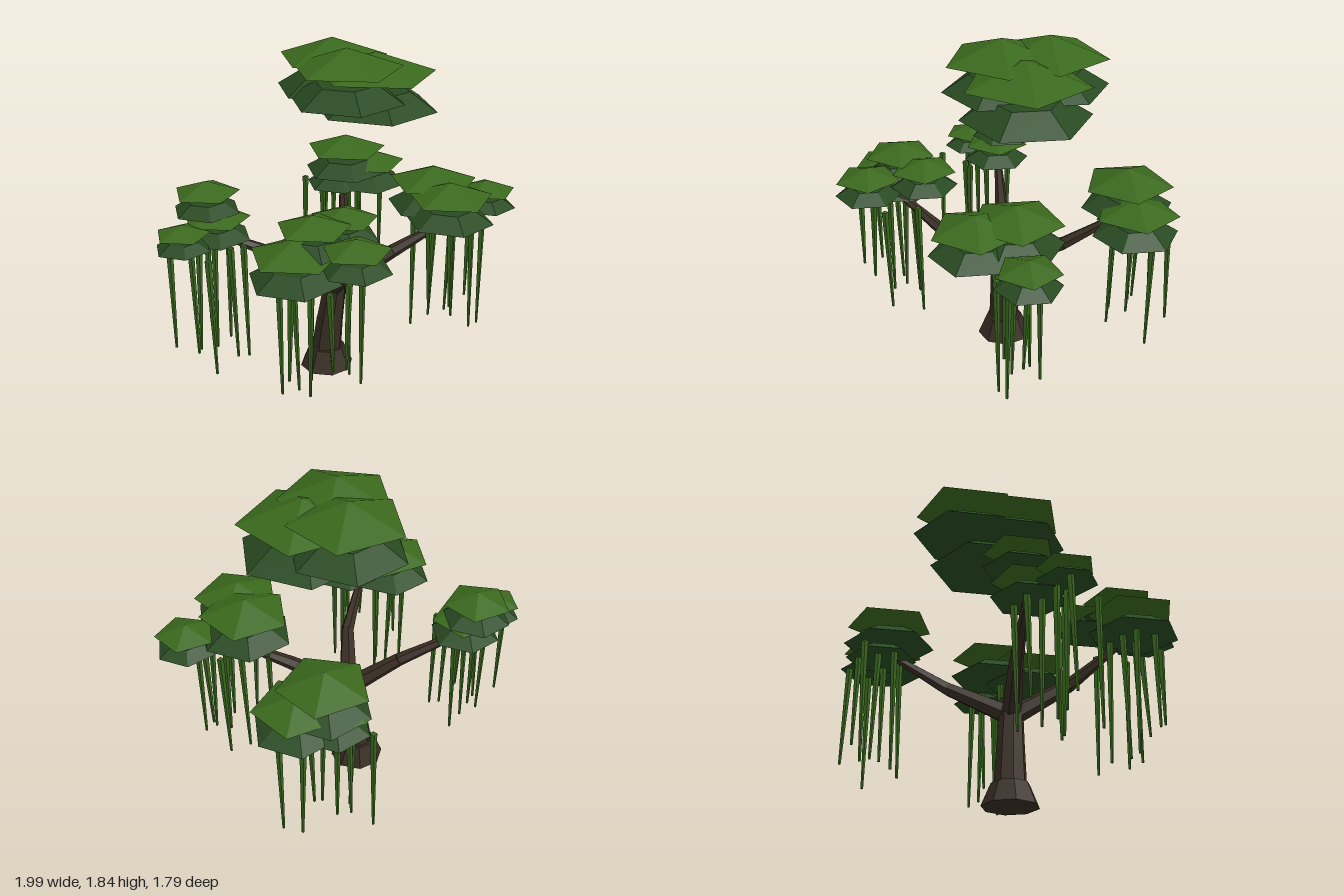
import * as THREE from 'three';

const material = (name, color) => {
  const m = new THREE.MeshStandardMaterial({ color, flatShading: true });
  m.name = name;
  return m;
};

export function createModel() {
  const tree = new THREE.Group();
  tree.name = 'willowTree';
  const bark = material('bark', 0x372c22);
  const leaf = material('leafGreen', 0x3a681d);
  const shade = material('deepLeafGreen', 0x284a21);
  const vineGreen = material('vineGreen', 0x3a681f);
  const up = new THREE.Vector3(0, 1, 0);

  const add = (geometry, mat, name, parent = tree) => {
    const mesh = new THREE.Mesh(geometry, mat);
    mesh.name = name;
    parent.add(mesh);
    return mesh;
  };

  // Tapered segment between two points
  const limb = (a, b, ra, rb, sides, mat, name, parent) => {
    const p = new THREE.Vector3(...a), q = new THREE.Vector3(...b);
    const dir = q.clone().sub(p);
    const mesh = add(new THREE.CylinderGeometry(rb, ra, dir.length(), sides), mat, name, parent);
    mesh.position.copy(p).add(q).multiplyScalar(0.5);
    mesh.quaternion.setFromUnitVectors(up, dir.normalize());
    return mesh;
  };

  // Trunk with flared foot
  const foot = add(new THREE.CylinderGeometry(0.1, 0.15, 0.12, 8), bark, 'trunkFlare');
  foot.position.set(-0.09, 0.06, -0.015);
  limb([-0.09, 0.1, -0.015], [-0.07, 0.3, -0.01], 0.086, 0.076, 8, bark, 'lowerTrunk');
  limb([-0.07, 0.29, -0.01], [-0.04, 0.52, 0], 0.076, 0.064, 8, bark, 'upperTrunk');

  // Four bent branches
  const branches = {
    leftBranch: [[-0.04, 0.5, 0], [0.28, 0.69, 0.03], [0.59, 0.86, 0.05]],
    rightBranch: [[-0.04, 0.5, 0], [-0.32, 0.69, -0.03], [-0.72, 0.885, -0.05]],
    frontBranch: [[-0.04, 0.5, 0], [-0.08, 0.68, 0.3], [-0.21, 0.9, 0.57]],
    backBranch: [[-0.04, 0.5, 0], [0.09, 0.68, -0.32], [0.15, 0.89, -0.65]],
  };
  for (const [name, [a, b, c]] of Object.entries(branches)) {
    const g = new THREE.Group();
    g.name = name;
    tree.add(g);
    limb(a, b, 0.055, 0.037, 6, bark, 'innerBranch', g);
    limb(b, c, 0.037, 0.017, 6, bark, 'outerBranch', g);
  }

  // Leaf pads: x, z, base height, radius
  const pads = [
    [0, -0.24, 1.57, 0.31], [0.02, 0.01, 1.57, 0.31], [0.2, -0.09, 1.49, 0.34],
    [0.51, 0, 0.94, 0.25], [0.54, 0.2, 0.925, 0.24], [0.83, -0.02, 0.895, 0.168],
    [-0.72, -0.09, 0.985, 0.185], [-0.87, 0.1, 0.86, 0.15], [-0.68, -0.04, 0.85, 0.19],
    [0.17, -0.64, 0.94, 0.245], [0.31, -0.66, 0.845, 0.23], [0.13, -0.68, 0.84, 0.19],
    [-0.37, 0.58, 0.86, 0.24], [-0.27, 0.54, 1.0, 0.195],
    [-0.09, 0.42, 0.99, 0.18], [-0.1, 0.72, 0.95, 0.18],
  ];
  for (const [x, z, y, r] of pads) {
    const pad = new THREE.Group();
    pad.name = 'leafPad';
    pad.position.set(x, y, z);
    tree.add(pad);
    add(new THREE.CylinderGeometry(r * 0.55, r, r * 0.29, 6), shade, 'lowerLeaves', pad).position.y = r * 0.145;
    // Five-sided cap with one corner pointing to +x
    const top = add(new THREE.ConeGeometry(r * 0.98, r * 0.35, 5), leaf, 'upperLeaves', pad);
    top.position.y = r * 0.71;
    top.rotation.y = Math.PI / 2;
  }

  // Hanging vines: x, z, lower end
  const vines = [
    [-0.94, 0.1, 0.29], [-0.83, 0.06, 0.2], [-0.79, 0.12, 0.25], [-0.76, 0.28, 0.2], [-0.73, -0.06, 0.33],
    [-0.7, 0.02, 0.2], [-0.63, 0.15, 0.2], [-0.61, -0.1, 0.2], [-0.56, 0.13, 0.2],
    [-0.45, 0.57, 0.2], [-0.41, 0.68, 0.35], [-0.37, 0.52, 0.2], [-0.3, 0.61, 0.2], [-0.27, 0.48, 0.2],
    [-0.24, 0.77, 0.44], [-0.13, 0.7, 0.4], [-0.08, 0.46, 0.2], [-0.05, 0.64, 0.25],
    [-0.05, -0.78, 0.2], [0.02, -0.62, 0.2], [0.06, -0.7, 0.25], [0.13, -0.8, 0.35], [0.17, -0.58, 0.2],
    [0.25, -0.66, 0.3], [0.3, -0.84, 0.3], [0.41, -0.73, 0.2],
    [0.4, 0.02, 0.22], [0.46, 0.1, 0.35], [0.55, -0.06, 0.2], [0.6, 0.06, 0.32], [0.63, 0.02, 0.24],
    [0.66, -0.1, 0.2], [0.7, 0.12, 0.2], [0.74, -0.03, 0.34], [0.78, 0.07, 0.2],
  ];
  vines.forEach(([x, z, end], i) => {
    const lean = 0.018 * Math.sin(i * 2.4), sway = 0.018 * Math.cos(i * 1.7);
    limb([x + lean, end, z + sway], [x, 0.86, z], 0.007, 0.018, 4, vineGreen, 'hangingVine');
  });

  return tree;
}
